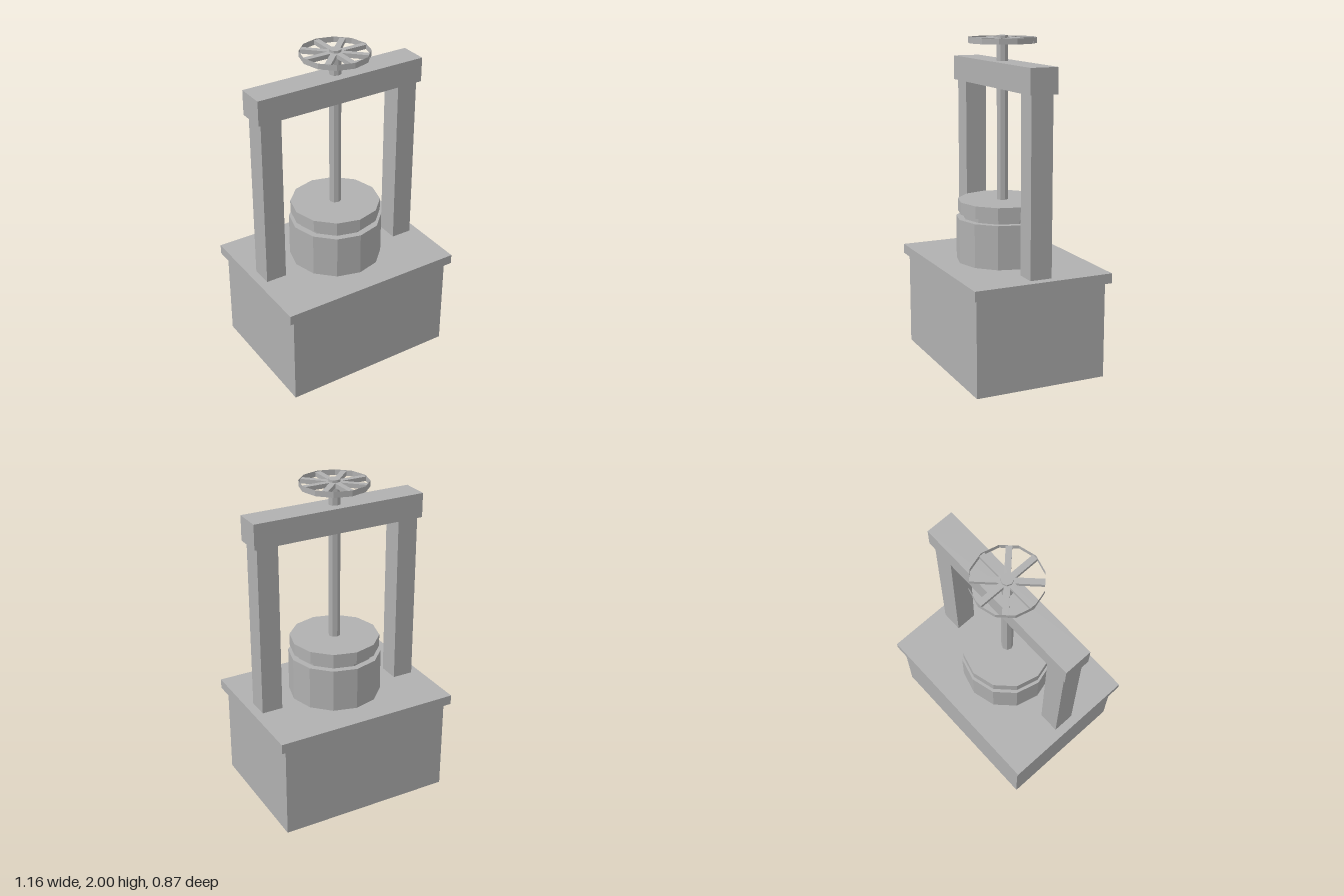
import * as THREE from 'three';

export function createModel() {
  const model = new THREE.Group();
  const grey = new THREE.MeshStandardMaterial({ color: 0xb0b0b0, flatShading: true });
  grey.name = 'plain grey';
  const greyThin = grey.clone();
  greyThin.name = 'plain grey thin';
  greyThin.side = THREE.DoubleSide;

  const add = (name, geometry, x, y, z = 0, parent = model, material = grey) => {
    const mesh = new THREE.Mesh(geometry, material);
    mesh.name = name;
    mesh.position.set(x, y, z);
    parent.add(mesh);
    return mesh;
  };
  // Box and upright cylinder given by their bottom and top heights
  const box = (name, w, d, y0, y1, x = 0, parent = model) =>
    add(name, new THREE.BoxGeometry(w, y1 - y0, d), x, (y0 + y1) / 2, 0, parent);
  const drum = (name, r, sides, y0, y1) =>
    add(name, new THREE.CylinderGeometry(r, r, y1 - y0, sides), 0, (y0 + y1) / 2);

  // Base block and overhanging table top
  box('base', 1.09, 0.82, 0, 0.585);
  box('tableTop', 1.16, 0.87, 0.585, 0.645);

  // Frame: two posts and a crossbeam
  for (const side of [-1, 1]) {
    box(side > 0 ? 'leftPost' : 'rightPost', 0.13, 0.135, 0.645, 1.7, side * 0.46);
  }
  box('crossbeam', 1.094, 0.172, 1.7, 1.85);

  // Vessel with neck and pressing plate
  drum('vessel', 0.283, 12, 0.645, 0.912);
  drum('neck', 0.243, 12, 0.912, 0.942);
  drum('pressPlate', 0.273, 12, 0.942, 1.017);

  // Screw spindle
  drum('spindle', 0.036, 8, 1.017, 2);

  // Handwheel: thin open rim and four crossing bars making eight spokes
  const wheel = new THREE.Group();
  wheel.name = 'handwheel';
  model.add(wheel);
  add('wheelRim', new THREE.CylinderGeometry(0.204, 0.204, 0.034, 12, 1, true), 0, 1.972, 0, wheel, greyThin);
  for (let i = 0; i < 4; i++) {
    box('spokeBar', 0.395, 0.035, 1.959, 1.985, 0, wheel).rotation.y = (i * Math.PI) / 4;
  }
  return model;
}
